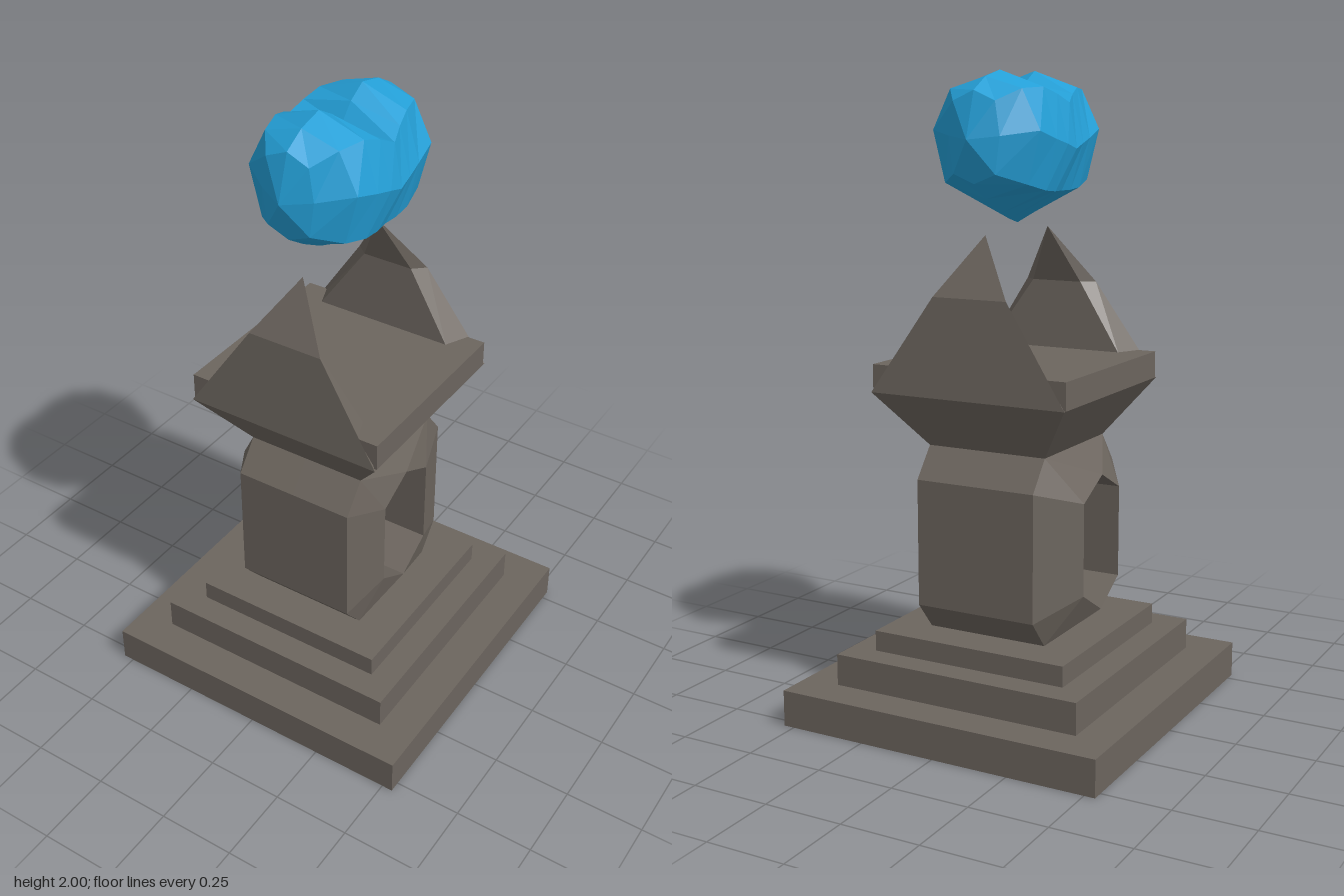
import * as THREE from 'three';

const stone = new THREE.MeshStandardMaterial({ color: 0x6c655e, flatShading: true });
const blue = new THREE.MeshStandardMaterial({ color: 0x24a0d8, flatShading: true });

// Flat polygons (counter-clockwise corner lists) to a faceted mesh
function facetMesh(name, faces, material) {
  const pos = [];
  for (const f of faces)
    for (let i = 1; i < f.length - 1; i++) pos.push(...f[0], ...f[i], ...f[i + 1]);
  const g = new THREE.BufferGeometry();
  g.setAttribute('position', new THREE.Float32BufferAttribute(pos, 3));
  g.computeVertexNormals();
  const m = new THREE.Mesh(g, material);
  m.name = name;
  return m;
}

// Mirror faces by signs on x and z, keeping them facing outward
function mirrored(faces, sx, sz) {
  return faces.map((f) => {
    const r = f.map(([x, y, z]) => [x * sx, y, z * sz]);
    return sx * sz < 0 ? r.reverse() : r;
  });
}

function slab(name, half, y0, y1, halfZ = half) {
  const m = new THREE.Mesh(new THREE.BoxGeometry(half * 2, y1 - y0, halfZ * 2), stone);
  m.position.y = (y0 + y1) / 2;
  m.name = name;
  return m;
}

// One quarter of the shaft: bulging front panel and a hexagonal niche at the side
function shaftQuarter(hx, rx) {
  const T = [0.2, 0.865, 0.2], F1 = [0.2, 0.77, 0.275];
  const F0 = [0.2, 0.37, 0.275], B = [0.2, 0.28, 0.2];
  const mid = ([, y, z]) => [0, y, z];
  const hex = (x) => [[x, 0.785, 0], [x, 0.72, 0.125], [x, 0.43, 0.125], [x, 0.355, 0]];
  const H = hex(hx), R = hex(rx);
  const faces = [
    [T, F1, H[1]], [F1, F0, H[2], H[1]], [F0, B, H[2]], [B, H[3], H[2]],
    [T, H[1], H[0]], [T, H[0], [0.2, 0.865, 0]], [B, [0.2, 0.28, 0], H[3]],
    [T, mid(T), mid(F1), F1], [F1, mid(F1), mid(F0), F0], [F0, mid(F0), mid(B), B],
    R,
  ];
  for (let i = 0; i < 3; i++) faces.push([H[i], H[i + 1], R[i + 1], R[i]]);
  return faces;
}

// Right half of a pointed, inward-bent fin
function finHalf() {
  const A = [0.328, 1.04, 0.328], B = [0.124, 1.34, 0.3], tip = [0, 1.52, 0.2];
  const C = [0.235, 1.12, 0.24], D = [0.085, 1.34, 0.265];
  const mid = ([, y, z]) => [0, y, z];
  return [
    [A, B, mid(B), mid(A)], [B, tip, mid(B)],
    [A, C, D, B], [B, D, tip],
    [C, mid(C), mid(D), D], [D, mid(D), tip],
  ];
}

// Front lobe of the heart: eight-sided rings from the tip back to the crease
function heartLobe() {
  // z, top y, shoulder x y, middle x y, low x y, bottom y
  const stations = [
    [0.265, 1.94, 0.07, 1.91, 0.085, 1.81, 0.07, 1.70, 1.672],
    [0.195, 1.98, 0.12, 1.945, 0.18, 1.825, 0.14, 1.67, 1.625],
    [0.11, 2.0, 0.145, 1.95, 0.19, 1.80, 0.155, 1.65, 1.578],
    [0.05, 1.965, 0.16, 1.93, 0.197, 1.785, 0.155, 1.645, 1.558],
    [0, 1.91, 0.175, 1.905, 0.2, 1.77, 0.15, 1.645, 1.545],
  ];
  const rings = stations.map(([z, t, sx, sy, mx, my, lx, ly, b]) => [
    [0, t, z], [-sx, sy, z], [-mx, my, z], [-lx, ly, z],
    [0, b, z], [lx, ly, z], [mx, my, z], [sx, sy, z],
  ]);
  const tip = [0, 1.8, 0.31];
  const faces = [];
  for (let j = 0; j < 8; j++) {
    const k = (j + 1) % 8;
    faces.push([tip, rings[0][j], rings[0][k]]);
    for (let i = 0; i < rings.length - 1; i++)
      faces.push([rings[i][j], rings[i + 1][j], rings[i + 1][k], rings[i][k]]);
  }
  return faces;
}

export function createModel() {
  const model = new THREE.Group();
  model.name = 'heartShrine';

  // Stepped plinth
  model.add(slab('lowerStep', 0.535, 0, 0.115));
  model.add(slab('middleStep', 0.415, 0.115, 0.215));
  model.add(slab('upperStep', 0.328, 0.215, 0.28));

  // Shaft, deeper on one side than the other
  const shaft = [];
  for (const sz of [1, -1]) {
    shaft.push(...mirrored(shaftQuarter(0.245, 0.08), 1, sz));
    shaft.push(...mirrored(shaftQuarter(0.295, 0.08), -1, sz));
  }
  model.add(facetMesh('shaft', shaft, stone));

  // Flared capital and its platform
  const flareGeo = new THREE.CylinderGeometry(0.328 * Math.SQRT2, 0.2 * Math.SQRT2, 0.175, 4);
  flareGeo.rotateY(Math.PI / 4);
  const flare = new THREE.Mesh(flareGeo, stone);
  flare.position.y = 0.9525;
  flare.name = 'flaredCapital';
  model.add(flare);
  model.add(slab('platform', 0.328, 1.04, 1.125, 0.317));

  // Fins at front and back
  for (const sz of [1, -1]) {
    const faces = [...mirrored(finHalf(), 1, sz), ...mirrored(finHalf(), -1, sz)];
    model.add(facetMesh(sz > 0 ? 'frontFin' : 'backFin', faces, stone));
  }

  // Floating faceted heart
  const lobe = heartLobe();
  model.add(facetMesh('heart', [...lobe, ...mirrored(lobe, 1, -1)], blue));

  return model;
}
